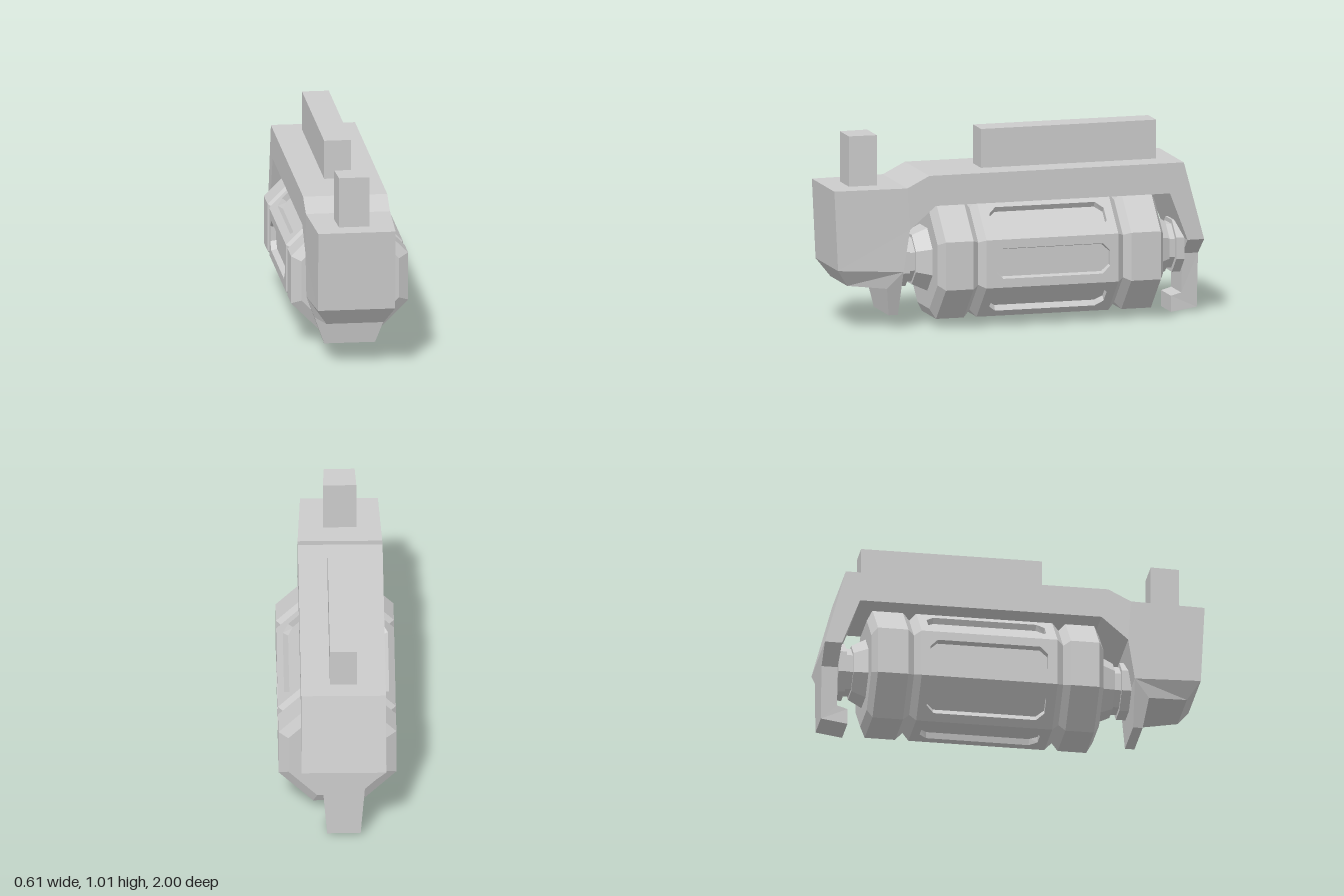
import * as THREE from 'three';

const material = new THREE.MeshStandardMaterial({ color: 0xcccccc, flatShading: true });
const FRAME_X = -0.03; // the frame sits slightly off the drum axis
const DRUM_Y = 0.348;
const APOTHEM = 0.306;

// Solid from a side outline of [z, y, halfWidth] points, mirrored across x
function slab(name, outline) {
  const flat = outline.map(([z, y]) => new THREE.Vector2(z, y));
  if (THREE.ShapeUtils.isClockWise(flat)) {
    flat.reverse();
    outline = [...outline].reverse();
  }
  const n = outline.length;
  const positions = [];
  for (const side of [-1, 1]) {
    for (const [z, y, half] of outline) positions.push(side * half, y, z);
  }
  const index = [];
  for (const [a, b, c] of THREE.ShapeUtils.triangulateShape(flat, [])) {
    index.push(a, b, c, n + c, n + b, n + a);
  }
  for (let i = 0; i < n; i++) {
    const j = (i + 1) % n;
    index.push(j, i, n + i, j, n + i, n + j);
  }
  const geometry = new THREE.BufferGeometry();
  geometry.setAttribute('position', new THREE.Float32BufferAttribute(positions, 3));
  geometry.setIndex(index);
  const solid = geometry.toNonIndexed();
  solid.computeVertexNormals();
  return named(name, solid);
}

function named(name, geometry) {
  const mesh = new THREE.Mesh(geometry, material);
  mesh.name = name;
  return mesh;
}

// Eight-sided turned solid along z from [apothem, z] points
function octagonTurned(name, profile) {
  const points = profile.map(([r, z]) => new THREE.Vector2(r / Math.cos(Math.PI / 8), z));
  const geometry = new THREE.LatheGeometry(points, 8, Math.PI / 8).toNonIndexed();
  geometry.computeVertexNormals();
  geometry.rotateX(Math.PI / 2);
  return named(name, geometry);
}

// One face of the drum's middle, with a chamfered slot and mitred long edges
function slottedPlate() {
  const rect = (w, z0, z1) => [[-w, z0], [w, z0], [w, z1], [-w, z1]];
  const vec = (list) => list.map(([x, y]) => new THREE.Vector2(x, y));
  const shape = new THREE.Shape(vec(rect(APOTHEM * Math.tan(Math.PI / 8), -0.5, 0.215)));
  const w = 0.08, c = 0.04, z0 = -0.455, z1 = 0.165;
  shape.holes.push(new THREE.Path(vec([
    [-w, z0 + c], [-w, z1 - c], [-w + c, z1], [w - c, z1],
    [w, z1 - c], [w, z0 + c], [w - c, z0], [-w + c, z0],
  ])));
  const depth = 0.035;
  const geometry = new THREE.ExtrudeGeometry(shape, { depth, bevelEnabled: false });
  geometry.translate(0, 0, APOTHEM - depth);
  const p = geometry.attributes.position;
  for (let i = 0; i < p.count; i++) p.setX(i, p.getX(i) * p.getZ(i) / APOTHEM);
  geometry.computeVertexNormals();
  return geometry.rotateX(Math.PI / 2);
}

function createDrum() {
  const drum = new THREE.Group();
  drum.name = 'drum';
  drum.position.y = DRUM_Y;

  // Core with end bands, grooves, necks and flanged hubs
  drum.add(octagonTurned('drumCore', [
    [0, -0.91], [0.137, -0.91], [0.137, -0.865], [0.115, -0.865], [0.115, -0.83],
    [0.13, -0.83], [0.165, -0.757], [0.255, -0.757], [APOTHEM, -0.73],
    [APOTHEM, -0.57], [0.27, -0.535], [APOTHEM, -0.5], [0.275, -0.5],
    [0.275, 0.215], [APOTHEM, 0.215], [0.27, 0.25], [APOTHEM, 0.285],
    [APOTHEM, 0.435], [0.255, 0.465], [0.165, 0.465], [0.13, 0.545],
    [0.115, 0.545], [0.115, 0.58], [0.137, 0.58], [0.137, 0.63], [0, 0.63],
  ]));

  // Slotted plates around the middle
  const plate = slottedPlate();
  for (let i = 0; i < 8; i++) {
    const mesh = named('slottedPlate', plate);
    mesh.rotation.z = i * Math.PI / 4;
    drum.add(mesh);
  }
  return drum;
}

function createFrame() {
  const frame = new THREE.Group();
  frame.name = 'frame';
  frame.position.x = FRAME_X;
  const W = 0.22;

  // Top bridge running down into the rear wall
  frame.add(slab('bridge', [
    [0.61, 0.75, W], [0.49, 0.81, W], [-0.89, 0.81, W], [-1, 0.4, W],
    [-0.91, 0.4, W], [-0.815, 0.65, W], [0.455, 0.65, W], [0.595, 0.53, W],
  ]));

  // Front block, its chin and the lip below
  frame.add(slab('frontBlock', [
    [0.61, 0.75, W], [1, 0.75, 0.202], [0.98, 0.33, 0.202], [0.63, 0.31, W], [0.595, 0.53, W],
  ]));
  frame.add(slab('chin', [
    [0.98, 0.33, 0.202], [0.915, 0.24, 0.15], [0.71, 0.22, 0.187], [0.63, 0.31, W],
  ]));
  frame.add(slab('frontLip', [
    [0.71, 0.22, 0.187], [0.685, 0.07, 0.133], [0.635, 0.07, 0.133], [0.63, 0.31, W],
  ]));

  // Rear wall narrowing into a hooked tab
  frame.add(slab('rearTaper', [
    [-0.91, 0.4, W], [-1, 0.4, W], [-1, 0.31, 0.11], [-0.915, 0.31, 0.11],
  ]));
  frame.add(slab('rearHook', [
    [-1, 0.31, 0.11], [-1, 0.02, 0.087], [-0.86, 0, 0.087], [-0.86, 0.085, 0.087],
    [-0.915, 0.1, 0.09], [-0.915, 0.31, 0.11],
  ]));

  // Front post and long top rail
  frame.add(slab('frontPost', [
    [0.885, 0.75, 0.08], [0.885, 1.015, 0.08], [0.735, 1.015, 0.087], [0.735, 0.75, 0.087],
  ]));
  const rail = named('topRail', new THREE.BoxGeometry(0.14, 0.21, 0.95));
  rail.position.set(0, 0.91, -0.31);
  frame.add(rail);
  return frame;
}

export function createModel() {
  const model = new THREE.Group();
  model.name = 'model';
  model.add(createDrum(), createFrame());
  return model;
}
